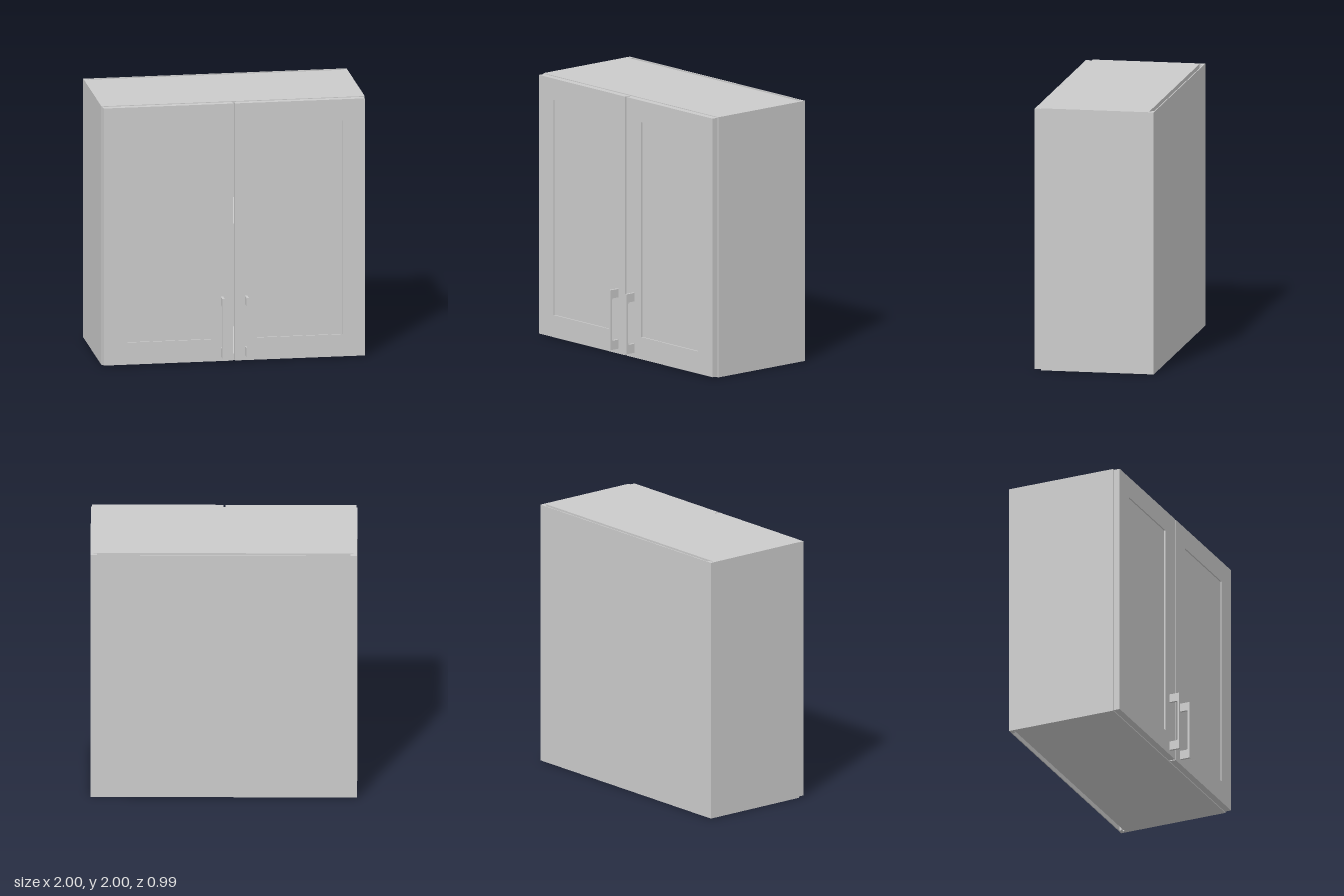
import * as THREE from 'three';

const material = new THREE.MeshStandardMaterial({ color: 0xcccccc, flatShading: true });

function part(name, geometry) {
  const mesh = new THREE.Mesh(geometry, material);
  mesh.name = name;
  return mesh;
}

// Box given by its minimum and maximum corners
function box(name, [x0, y0, z0], [x1, y1, z1]) {
  const g = new THREE.BoxGeometry(x1 - x0, y1 - y0, z1 - z0);
  g.translate((x0 + x1) / 2, (y0 + y1) / 2, (z0 + z1) / 2);
  return part(name, g);
}

const outline = (pts) => new THREE.Shape(pts.map(([x, y]) => new THREE.Vector2(x, y)));
const rect = (x0, y0, x1, y1) => [[x0, y0], [x1, y0], [x1, y1], [x0, y1]];
const extrude = (shape, depth) =>
  new THREE.ExtrudeGeometry(shape, { depth, bevelEnabled: false, curveSegments: 5 });

// Side panel: plan profile with a rebate and a groove near the back, extruded upwards
function sidePanel(name, s) {
  const plan = [
    [1, 0.365], [0.95, 0.365], [0.95, -0.455], [0.975, -0.455], [0.975, -0.468],
    [0.95, -0.468], [0.95, -0.488], [0.994, -0.488], [0.994, -0.495], [1, -0.495],
  ];
  const g = extrude(outline(plan.map(([x, z]) => [s * x, -z])), 2);
  g.rotateX(-Math.PI / 2);
  return part(name, g);
}

// Door: frame with an opening, filled by a slightly recessed panel
function door(name, s) {
  const group = new THREE.Group();
  group.name = name;
  const frame = outline(rect(s * 0.007, 0.007, s * 0.992, 1.995));
  const [a, b] = [0.175, 0.825].map((x) => x * s).sort((p, q) => p - q);
  frame.holes.push(outline(rect(a, 0.178, b, 1.83)));
  const g = extrude(frame, 0.05);
  g.translate(0, 0, 0.366);
  group.add(part('doorFrame', g));
  group.add(box('doorPanel', [a, 0.178, 0.366], [b, 1.83, 0.405]));
  return group;
}

// Bracket-shaped pull with rounded inner corners, drawn in the z-y plane
function handle(name, x) {
  const [back, front, inner, r] = [0.416, 0.495, 0.48, 0.012];
  const s = new THREE.Shape();
  s.moveTo(back, 0.045);
  s.lineTo(front, 0.045);
  s.lineTo(front, 0.505);
  s.lineTo(back, 0.505);
  s.lineTo(back, 0.44);
  s.lineTo(inner - r, 0.44);
  s.quadraticCurveTo(inner, 0.44, inner, 0.44 - r);
  s.lineTo(inner, 0.115 + r);
  s.quadraticCurveTo(inner, 0.115, inner - r, 0.115);
  s.lineTo(back, 0.115);
  s.closePath();
  const g = extrude(s, 0.018);
  g.translate(0, 0, -0.009);
  g.rotateY(-Math.PI / 2);
  g.translate(x, 0, 0);
  return part(name, g);
}

export function createModel() {
  const model = new THREE.Group();
  model.name = 'wallCabinet';

  // Carcass
  for (const [side, s] of [['left', 1], ['right', -1]]) model.add(sidePanel(side + 'Side', s));
  for (const [name, y] of [['bottomPanel', 0], ['shelf', 1], ['topPanel', 1.95]]) {
    const front = name === 'shelf' ? 0.345 : 0.365;
    model.add(box(name, [-0.95, y, -0.455], [0.95, y + 0.05, front]));
  }
  model.add(box('backPanel', [-0.994, 0, -0.495], [0.994, 2, -0.488]));

  // Doors and handles
  for (const [side, s] of [['left', 1], ['right', -1]]) {
    model.add(door(side + 'Door', s));
    model.add(handle(side + 'Handle', s * 0.092));
  }
  return model;
}
